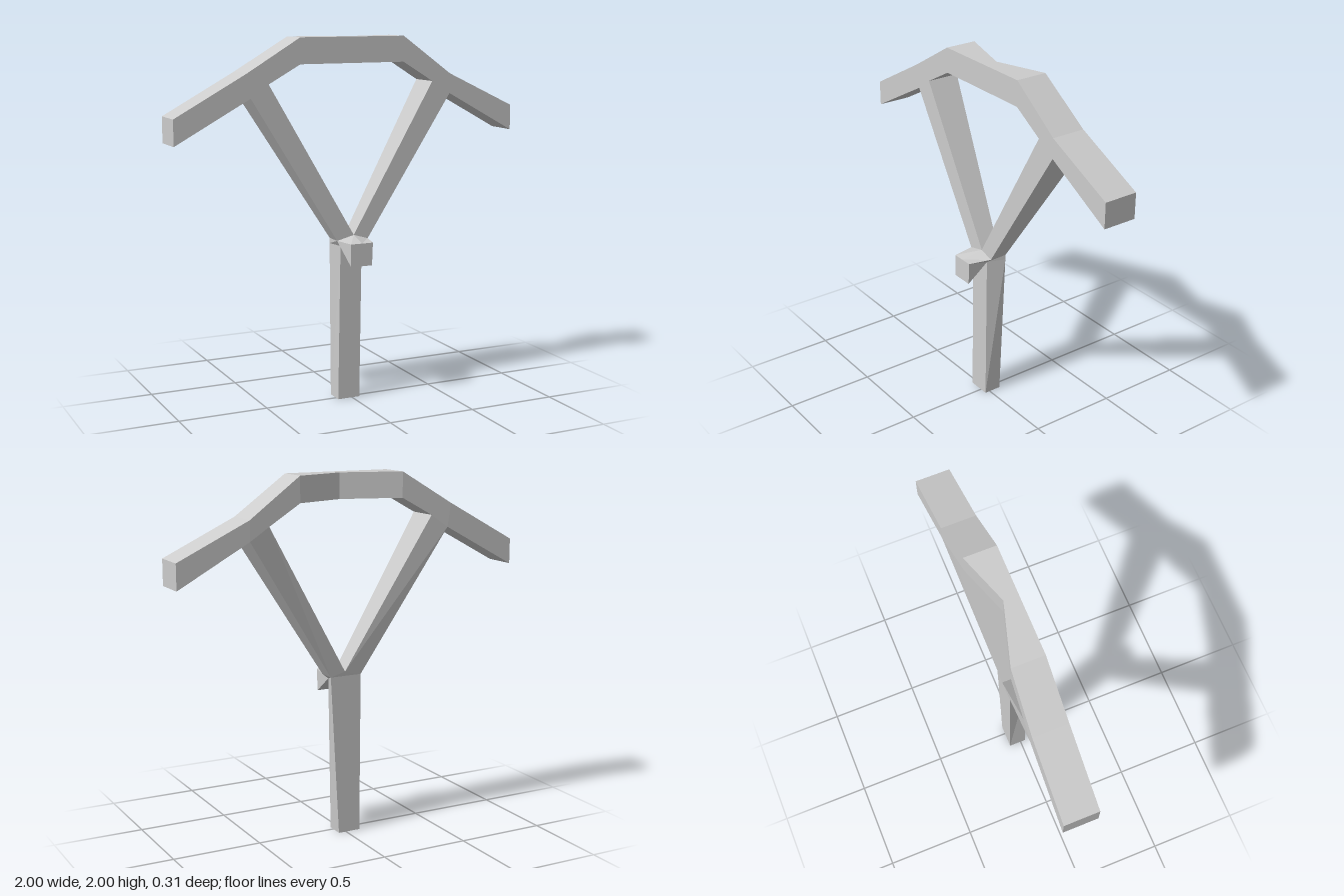
import * as THREE from 'three';

const FRONT = 0.03; // shared flat front plane
const material = new THREE.MeshStandardMaterial({ color: 0xcccccc, flatShading: true });

// Skins a list of matching rings (counter-clockwise seen from the sweep's end).
function loft(name, rings, capStart, capEnd) {
  const out = [];
  const tri = (a, b, c) => out.push(...a, ...b, ...c);
  const n = rings[0].length;
  for (let s = 0; s < rings.length - 1; s++) {
    const a = rings[s], b = rings[s + 1];
    for (let i = 0; i < n; i++) {
      const j = (i + 1) % n;
      tri(a[i], a[j], b[j]);
      tri(a[i], b[j], b[i]);
    }
  }
  const first = rings[0], last = rings[rings.length - 1];
  for (let i = 1; i < n - 1; i++) {
    if (capStart) tri(first[0], first[i + 1], first[i]);
    if (capEnd) tri(last[0], last[i], last[i + 1]);
  }
  const geometry = new THREE.BufferGeometry();
  geometry.setAttribute('position', new THREE.Float32BufferAttribute(out, 3));
  geometry.computeVertexNormals();
  const mesh = new THREE.Mesh(geometry, material);
  mesh.name = name;
  return mesh;
}

export function createModel() {
  const group = new THREE.Group();
  group.name = 'branchingSupport';

  // Arched top beam: top x, y, bottom x, y and back z at each station
  const stations = [
    [-1, 1.6, -1, 1.46, -0.16],
    [-0.6, 1.82, -0.58, 1.69, -0.16],
    [-0.48, 1.892, -0.48, 1.76, -0.155],
    [-0.3, 2, -0.3, 1.86, -0.147],
    [0.03, 2, 0.03, 1.86, -0.05],
    [0.31, 2, 0.31, 1.86, -0.147],
    [0.49, 1.87, 0.49, 1.75, -0.155],
    [0.6, 1.79, 0.6, 1.68, -0.16],
    [1, 1.6, 1, 1.46, -0.16],
  ];
  group.add(loft('archBeam', stations.map(([tx, ty, bx, by, z]) => [
    [bx, by, FRONT], [bx, by, z], [tx, ty, z], [tx, ty, FRONT],
  ]), true, true));

  // Diagonal struts: each ring runs between its own -x and +x edge
  const strutRing = ([ax, ay, az], [bx, by, bz]) => [
    [ax, ay, FRONT], [bx, by, FRONT], [bx, by, bz], [ax, ay, az],
  ];
  const fork = [0.01, 0.925, -0.075];
  const rightShoulder = [-0.09, 0.9, -0.07], leftShoulder = [0.095, 0.9, -0.07];
  group.add(loft('rightStrut', [
    strutRing(rightShoulder, fork),
    strutRing([-0.58, 1.69, -0.16], [-0.48, 1.76, -0.155]),
  ]));
  group.add(loft('leftStrut', [
    strutRing(fork, leftShoulder),
    strutRing([0.49, 1.75, -0.155], [0.6, 1.68, -0.16]),
  ]));

  // Tapered post, its front edges pulled in under the bracket
  const postRing = (y, fl, fr, bl, br) => [
    [fl, y, FRONT], [fr, y, FRONT], [br, y, -0.07], [bl, y, -0.07],
  ];
  group.add(loft('post', [
    postRing(0, -0.085, 0.045, -0.085, 0.045),
    postRing(0.87, -0.07, 0.058, -0.09, 0.093),
    postRing(0.9, -0.09, 0.095, -0.09, 0.095),
  ], true, true));
  // Small gable closing the back between post and struts
  const gable = z => [[-0.09, 0.9, z], [0.095, 0.9, z], [0.01, 0.925, z === FRONT ? z : -0.075]];
  group.add(loft('postCrown', [gable(-0.07), gable(FRONT)], true, true));

  // Wedge bracket on the front of the fork
  group.add(loft('frontBracket', [
    [[-0.07, 0.87, FRONT], [0.058, 0.87, FRONT], [0.095, 0.9, FRONT], [0.01, 0.925, FRONT], [-0.09, 0.9, FRONT]],
    [[-0.065, 0.775, 0.155], [0.06, 0.775, 0.155], [0.065, 0.9, 0.155], [0, 0.9, 0.155], [-0.065, 0.9, 0.155]],
  ], false, true));

  return group;
}
